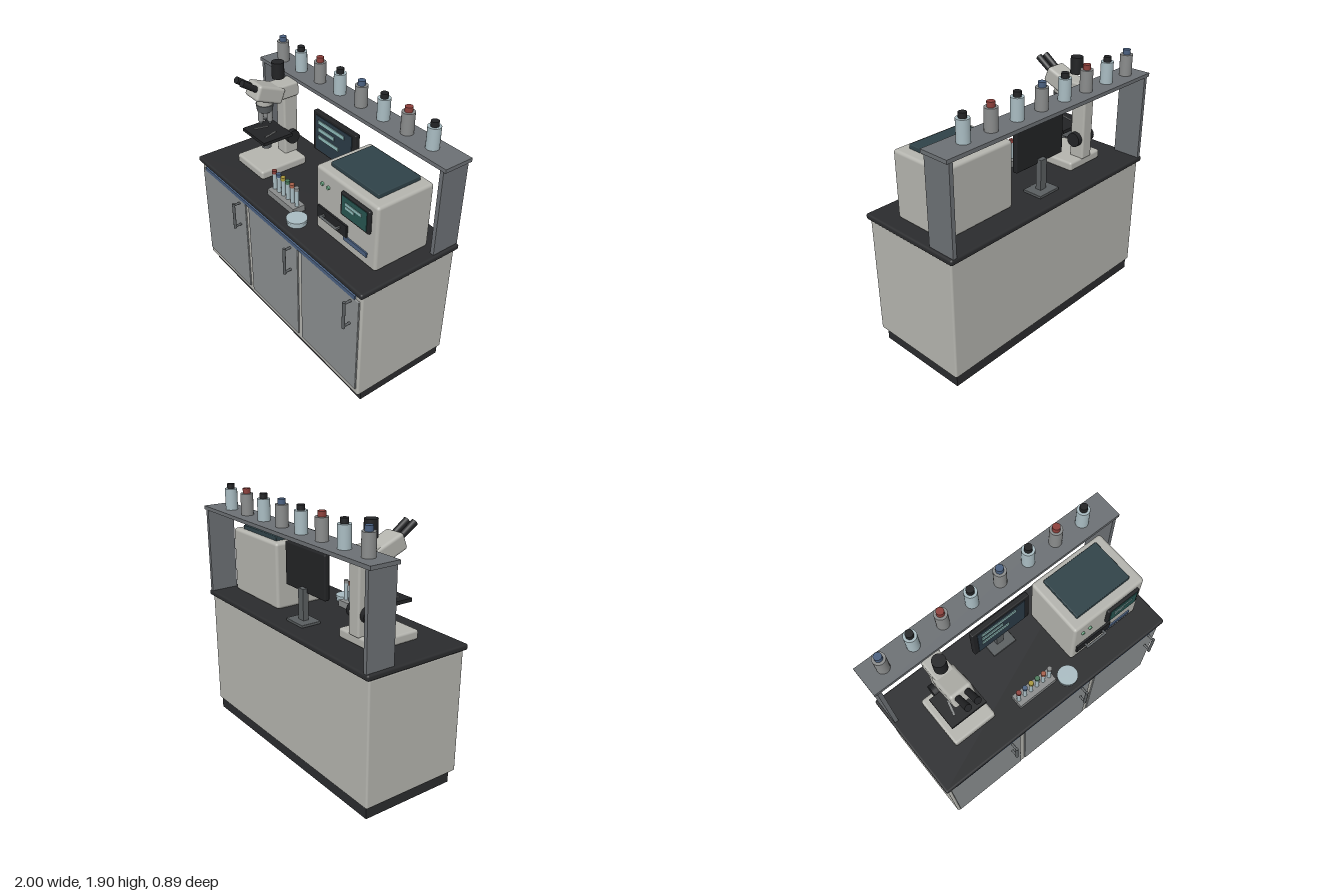
import * as THREE from 'three';
import { RoundedBoxGeometry } from 'three/addons/geometries/RoundedBoxGeometry.js';

const C = {
  shell: 0xb4b4ae, dark: 0x2b2c2e, black: 0x222325, door: 0x8b8f90, shelf: 0x6c7074, steel: 0x5a5e60,
  blue: 0x4a6080, lid: 0x2f4248, screen: 0x2b3a46, teal: 0x275450, text: 0x8fbab8, glass: 0xa9bcc2,
  grey: 0x8a8c8c, red: 0x8c3f3a, green: 0x4c7a5c, led: 0x6fa886, yellow: 0xa8963c, orange: 0xa8604a,
};
const materials = {};
const mat = (c) => (materials[c] ??= new THREE.MeshStandardMaterial({ color: C[c] }));

function add(parent, name, geometry, color, x = 0, y = 0, z = 0) {
  const mesh = new THREE.Mesh(geometry, mat(color));
  mesh.name = name;
  mesh.position.set(x, y, z);
  parent.add(mesh);
  return mesh;
}

// Box given by its extents; bevel > 0 chamfers the edges
function box(parent, name, color, [x0, x1], [y0, y1], [z0, z1], bevel = 0) {
  const w = x1 - x0, h = y1 - y0, d = z1 - z0;
  const g = bevel ? new RoundedBoxGeometry(w, h, d, 2, bevel) : new THREE.BoxGeometry(w, h, d);
  return add(parent, name, g, color, (x0 + x1) / 2, (y0 + y1) / 2, (z0 + z1) / 2);
}

// Upright cylinder from y0 to y1
function cyl(parent, name, color, x, z, r, y0, y1, rBottom = r) {
  return add(parent, name, new THREE.CylinderGeometry(r, rBottom, y1 - y0, 24), color, x, (y0 + y1) / 2, z);
}

function group(parent, name) {
  const g = new THREE.Group();
  g.name = name;
  parent.add(g);
  return g;
}

function buildCabinet(root) {
  const g = group(root, 'cabinet');
  box(g, 'plinth', 'dark', [-0.963, 0.963], [0, 0.09], [-0.405, 0.325]);
  box(g, 'carcass', 'shell', [-0.983, 0.983], [0.085, 0.997], [-0.42, 0.37], 0.014);
  box(g, 'worktop', 'dark', [-1, 1], [0.997, 1.04], [-0.445, 0.395], 0.015);
  box(g, 'trimStrip', 'blue', [-0.92, 0.92], [0.943, 0.973], [0.365, 0.383]);
  for (const cx of [-0.655, 0, 0.655]) {
    box(g, 'door', 'door', [cx - 0.307, cx + 0.307], [0.14, 0.947], [0.36, 0.381], 0.005);
    const hx = cx + 0.228;
    cyl(g, 'doorHandle', 'steel', hx, 0.434, 0.011, 0.7, 0.925);
    for (const y of [0.715, 0.91]) {
      const post = cyl(g, 'handlePost', 'steel', hx, 0.405, 0.009, y - 0.03, y + 0.03);
      post.rotation.x = Math.PI / 2;
    }
  }
}

function buildShelf(root) {
  const g = group(root, 'shelfUnit');
  for (const s of [-1, 1]) {
    box(g, 'shelfUpright', 'shelf', [s * 0.965 - 0.015, s * 0.965 + 0.015], [1.038, 1.685], [-0.44, -0.225]);
  }
  box(g, 'shelfBoard', 'shelf', [-1, 1], [1.683, 1.71], [-0.445, -0.22]);
  const caps = ['blue', 'black', 'red', 'black'];
  for (let i = 0; i < 8; i++) {
    const x = -0.85 + i * 0.231;
    cyl(g, 'bottle', i % 2 ? 'glass' : 'grey', x, -0.335, 0.045, 1.71, 1.864);
    cyl(g, 'bottleCap', caps[i % 4], x, -0.335, 0.027, 1.864, 1.9);
  }
}

function buildMonitor(root) {
  const g = group(root, 'monitor');
  box(g, 'monitorFoot', 'steel', [-0.14, 0.06], [1.04, 1.06], [-0.33, -0.17], 0.005);
  box(g, 'monitorPost', 'steel', [-0.07, -0.01], [1.055, 1.29], [-0.27, -0.225]);
  box(g, 'monitorCase', 'black', [-0.278, 0.198], [1.253, 1.572], [-0.235, -0.195], 0.008);
  box(g, 'monitorScreen', 'screen', [-0.24, 0.16], [1.27, 1.547], [-0.2, -0.19]);
  for (const [x1, y] of [[0.08, 1.503], [-0.03, 1.442], [0.02, 1.381]]) {
    box(g, 'screenBar', 'text', [-0.21, x1], [y - 0.015, y + 0.015], [-0.192, -0.184]);
  }
}

function buildAnalyzer(root) {
  const g = group(root, 'analyzer');
  box(g, 'analyzerCase', 'shell', [0.27, 0.885], [1.04, 1.537], [-0.265, 0.193], 0.022);
  box(g, 'analyzerLid', 'lid', [0.342, 0.806], [1.53, 1.567], [-0.22, 0.125], 0.006);
  box(g, 'displayFrame', 'black', [0.552, 0.832], [1.315, 1.49], [0.185, 0.215], 0.01);
  box(g, 'display', 'teal', [0.575, 0.812], [1.332, 1.475], [0.21, 0.219]);
  box(g, 'displayBar', 'text', [0.61, 0.765], [1.417, 1.438], [0.215, 0.223]);
  box(g, 'displayBar', 'text', [0.61, 0.695], [1.39, 1.41], [0.215, 0.223]);
  for (const x of [0.345, 0.407]) {
    cyl(g, 'indicatorLight', 'led', x, 0.197, 0.013, 1.418, 1.438).rotation.x = Math.PI / 2;
  }
  box(g, 'drawer', 'black', [0.305, 0.61], [1.15, 1.243], [0.185, 0.207]);
  cyl(g, 'drawerHandle', 'steel', 0.46, 0.235, 0.009, 1.107, 1.287).rotation.z = Math.PI / 2;
  for (const x of [0.38, 0.54]) box(g, 'drawerHandlePost', 'steel', [x - 0.008, x + 0.008], [1.189, 1.205], [0.2, 0.238]);
  box(g, 'accentStrip', 'blue', [0.577, 0.807], [1.117, 1.153], [0.185, 0.203]);
}

function buildSamples(root) {
  const g = group(root, 'samples');
  box(g, 'tubeRack', 'grey', [-0.238, 0.082], [1.04, 1.088], [0.15, 0.25]);
  ['red', 'blue', 'yellow', 'green', 'orange', 'grey'].forEach((cap, i) => {
    const x = -0.215 + i * 0.0545;
    cyl(g, 'testTube', 'glass', x, 0.2, 0.015, 1.07, 1.215);
    cyl(g, 'testTubeCap', cap, x, 0.2, 0.018, 1.215, 1.24);
  });
  cyl(g, 'petriDish', 'glass', 0.165, 0.278, 0.07, 1.04, 1.072);
  cyl(g, 'petriLid', 'glass', 0.165, 0.278, 0.075, 1.066, 1.083);
}

function buildMicroscope(root) {
  const g = group(root, 'microscope');
  g.position.x = -0.58;
  box(g, 'microscopeBase', 'shell', [-0.173, 0.173], [1.04, 1.11], [-0.22, 0.183], 0.018);
  box(g, 'column', 'shell', [-0.053, 0.053], [1.1, 1.66], [-0.23, -0.11], 0.015);
  box(g, 'arm', 'shell', [-0.07, 0.07], [1.58, 1.69], [-0.235, -0.04], 0.015);

  // Tilted head with two eyepieces
  const head = add(g, 'head', new RoundedBoxGeometry(0.165, 0.122, 0.235, 2, 0.022), 'shell', 0, 1.655, 0.015);
  head.rotation.x = -0.38;
  for (const s of [-1, 1]) {
    const eye = add(g, 'eyepiece', new THREE.CylinderGeometry(0.025, 0.022, 0.17, 20), 'black', s * 0.036, 1.745, 0.158);
    eye.rotation.x = Math.PI / 2 - 0.61;
  }
  cyl(g, 'cameraPort', 'black', 0, -0.1, 0.046, 1.735, 1.857);

  // Revolving nosepiece and objectives
  cyl(g, 'headCollar', 'shell', 0, 0.025, 0.06, 1.56, 1.61);
  cyl(g, 'nosepiece', 'steel', 0, 0.025, 0.066, 1.51, 1.565, 0.058);
  for (let i = 0; i < 3; i++) {
    const a = Math.PI / 2 + (i * Math.PI * 2) / 3;
    const x = Math.cos(a) * 0.038, z = 0.025 + Math.sin(a) * 0.038;
    cyl(g, 'objective', 'grey', x, z, 0.021, 1.435, 1.515);
    cyl(g, 'objectiveTip', 'steel', x, z, 0.018, 1.41, 1.435, 0.011);
  }

  // Stage, condenser and focus knobs
  box(g, 'stage', 'black', [-0.143, 0.143], [1.305, 1.33], [-0.115, 0.137]);
  for (const s of [-1, 1]) {
    const clip = box(g, 'stageClip', 'grey', [s * 0.065 - 0.006, s * 0.065 + 0.006], [1.33, 1.336], [-0.03, 0.08]);
    clip.rotation.y = s * 0.25;
    const knob = cyl(g, 'focusKnob', 'black', s * 0.072, -0.165, 0.054, 1.236, 1.274);
    knob.rotation.z = Math.PI / 2;
  }
  box(g, 'stageBracket', 'steel', [-0.035, 0.035], [1.23, 1.31], [-0.12, -0.02]);
  cyl(g, 'condenser', 'steel', 0, 0.025, 0.037, 1.2, 1.306);
}

export function createModel() {
  const root = new THREE.Group();
  root.name = 'laboratoryBench';
  buildCabinet(root);
  buildShelf(root);
  buildMonitor(root);
  buildAnalyzer(root);
  buildSamples(root);
  buildMicroscope(root);
  return root;
}
